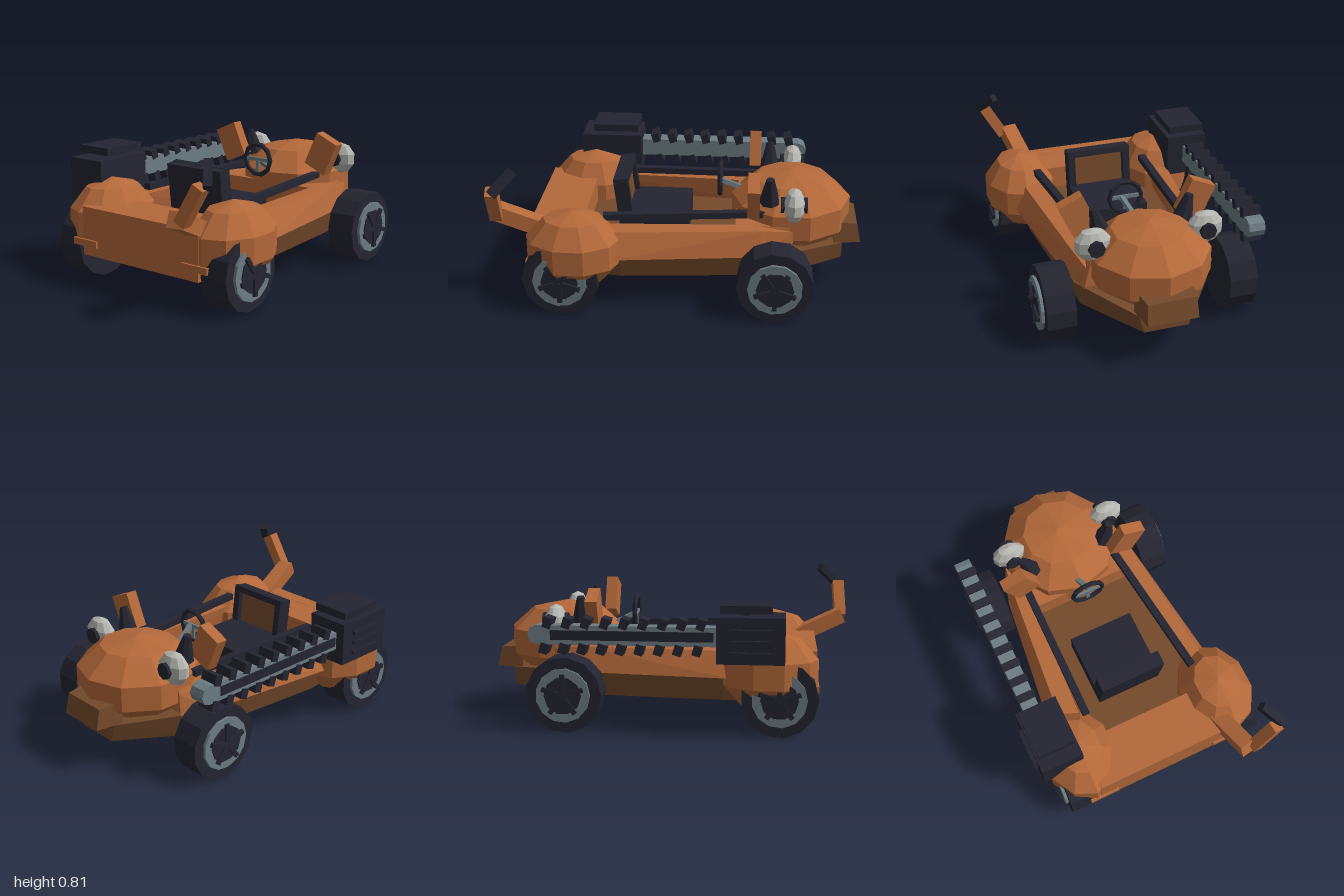
import * as THREE from 'three';
import { ConvexGeometry } from 'three/addons/geometries/ConvexGeometry.js';

const mat = (name, color) => {
  const m = new THREE.MeshStandardMaterial({ color, flatShading: true });
  m.name = name;
  return m;
};

export function createModel() {
  const orange = mat('rusty orange', 0xb4693a);
  const brown = mat('dark brown', 0x744a2b);
  const dark = mat('near black', 0x242530);
  const steel = mat('steel', 0x6d7d83);
  const glass = mat('lamp grey', 0xb6b7b0);

  const model = new THREE.Group();
  model.name = 'buggy';
  const car = new THREE.Group();
  car.name = 'car';
  car.position.x = 0.022;
  model.add(car);

  const add = (name, geo, material, x = 0, y = 0, z = 0, parent = car) => {
    const m = new THREE.Mesh(geo, material);
    m.name = name;
    m.position.set(x, y, z);
    parent.add(m);
    return m;
  };
  const box = (name, material, w, h, d, x, y, z, parent) =>
    add(name, new THREE.BoxGeometry(w, h, d), material, x, y, z, parent);
  const solid = (name, material, pts) =>
    add(name, new ConvexGeometry(pts.map(p => new THREE.Vector3(...p))), material);
  // points given for +x, mirrored to both sides
  const mirrored = pts => pts.flatMap(([x, y, z]) => [[x, y, z], [-x, y, z]]);
  // square bar between two points
  const beam = (name, material, a, b, w, h = w) => {
    const p = new THREE.Vector3(...a), q = new THREE.Vector3(...b);
    const m = box(name, material, w, h, p.distanceTo(q), 0, 0, 0);
    m.position.copy(p).add(q).multiplyScalar(0.5);
    m.lookAt(q);
    return m;
  };
  // faceted ellipsoid with five rows
  const blob = (name, material, rx, ry, rz, x, y, z, sides, turn = 0) => {
    const g = new THREE.SphereGeometry(1, sides, 5).rotateY(turn).scale(rx, ry, rz);
    return add(name, g, material, x, y, z);
  };

  // chassis tub, narrowing to the nose
  const plan = [[0.4, 0.78], [0.46, 0.3], [0.385, -0.55], [0.15, -0.9]];
  solid('chassis', brown, mirrored(plan.flatMap(([x, z]) => [[x - 0.03, 0.165, z], [x, z < -0.6 ? 0.27 : 0.3, z]])));

  // upper body
  box('rearPanel', orange, 0.8, 0.265, 0.08, 0, 0.2975, 0.76);
  box('rearDeck', orange, 0.8, 0.13, 0.22, 0, 0.364, 0.63);
  solid('dashBlock', orange, mirrored([
    [0.34, 0.28, -0.31], [0.3, 0.43, -0.31], [0.35, 0.28, -0.6], [0.31, 0.43, -0.6]]));
  for (const s of [-1, 1]) {
    solid('sideWall', orange, [
      [0.5, 0.295, 0.34], [0.44, 0.43, 0.36], [0.34, 0.43, 0.54], [0.37, 0.29, 0.54],
      [0.405, 0.295, -0.45], [0.365, 0.43, -0.45], [0.29, 0.43, -0.4], [0.31, 0.29, -0.4],
      [0.35, 0.295, -0.62], [0.34, 0.42, -0.62]].map(([x, y, z]) => [s * x, y, z]));
    beam('sideRail', dark, [s * 0.325, 0.48, 0.4], [s * 0.27, 0.48, -0.48], 0.04, 0.035);
    blob('rearFender', orange, 0.21, 0.222, 0.27, s * 0.425, 0.325, 0.55, 10, 0.31);
    box('rearBumper', orange, 0.17, 0.036, 0.03, s * 0.38, 0.235, 0.797);
  }

  // bonnet and nose
  blob('bonnet', orange, 0.34, 0.222, 0.345, 0, 0.42, -0.61, 10, 0.314);
  solid('noseBumper', brown, mirrored([
    [0.135, 0.27, -1], [0.13, 0.38, -0.975], [0.16, 0.27, -0.85], [0.15, 0.39, -0.85]]));

  // seat with a framed back panel
  box('seatCushion', dark, 0.37, 0.12, 0.34, 0, 0.36, 0.12);
  const back = new THREE.Group();
  back.name = 'seatBack';
  back.position.set(0, 0.46, 0.31);
  back.rotation.x = 0.12;
  car.add(back);
  box('seatShell', dark, 0.37, 0.33, 0.05, 0, 0, 0.01, back);
  box('seatPanel', brown, 0.28, 0.24, 0.006, 0, 0.02, -0.017, back);
  for (const s of [-1, 1]) box('seatFrameSide', dark, 0.04, 0.33, 0.03, s * 0.165, 0, -0.03, back);
  box('seatFrameTop', dark, 0.37, 0.035, 0.03, 0, 0.15, -0.03, back);

  // steering wheel
  add('steeringRim', new THREE.TorusGeometry(0.09, 0.014, 5, 10), dark, 0, 0.575, -0.215);
  box('steeringSpoke', steel, 0.17, 0.02, 0.012, 0, 0.575, -0.215);
  box('steeringSpoke', steel, 0.02, 0.09, 0.012, 0, 0.535, -0.215);
  beam('steeringColumn', steel, [0, 0.575, -0.21], [0, 0.5, -0.36], 0.025);

  // lamps, horn cones and upright plates beside the bonnet
  for (const s of [-1, 1]) {
    blob('headlamp', glass, 0.1, 0.092, 0.06, s * 0.305, 0.56, -0.62, 10);
    const socket = add('lampSocket', new THREE.CylinderGeometry(0.045, 0.045, 0.14, 8), dark, s * 0.3, 0.56, -0.62);
    socket.rotation.x = Math.PI / 2;
    const cone = add('hornCone', new THREE.CylinderGeometry(0.022, 0.058, 0.15, 7), dark, s * 0.245, 0.615, -0.49);
    cone.rotation.z = -s * 0.25;
    const plate = box('sidePlate', orange, 0.145, 0.2, 0.065, s * 0.327, 0.62, -0.405);
    plate.rotation.z = -s * 0.42;
  }

  // wheels with rim, hub and spokes
  for (const s of [-1, 1]) for (const z of [0.605, -0.53]) {
    const wheel = new THREE.Group();
    wheel.name = 'wheel';
    wheel.position.set(s * 0.5, 0.203, z);
    wheel.rotation.z = -s * Math.PI / 2;
    car.add(wheel);
    const disc = (name, m, r, from, to, n) =>
      add(name, new THREE.CylinderGeometry(r, r, to - from, n), m, 0, (from + to) / 2, 0, wheel);
    disc('tire', dark, 0.203, -0.078, 0.078, 13);
    disc('rim', steel, 0.145, 0.07, 0.094, 13);
    disc('hub', dark, 0.1, 0.07, 0.1, 10);
    for (let i = 0; i < 5; i++) {
      const a = i * Math.PI * 2 / 5;
      const spoke = box('spoke', dark, 0.11, 0.016, 0.025, Math.cos(a) * 0.06, 0.104, -Math.sin(a) * 0.06, wheel);
      spoke.rotation.y = a;
    }
  }

  // saw motor on the right-hand side
  const sx = -0.567;
  box('motor', dark, 0.235, 0.24, 0.35, -0.545, 0.52, 0.455);
  box('motorLid', dark, 0.21, 0.042, 0.265, -0.547, 0.679, 0.43);
  box('lidPost', dark, 0.05, 0.03, 0.04, -0.547, 0.65, 0.43);
  for (const y of [0.455, 0.515, 0.572]) box('motorFin', dark, 0.025, 0.018, 0.2, -0.668, y, 0.455);

  // saw bar, rounded tip and teeth
  box('sawBar', steel, 0.09, 0.1, 0.95, sx, 0.53, -0.185);
  const tip = add('sawTip', new THREE.CylinderGeometry(0.052, 0.052, 0.09, 8), steel, sx, 0.53, -0.655);
  tip.rotation.z = Math.PI / 2;
  box('sawSidePlate', dark, 0.009, 0.05, 0.85, sx - 0.048, 0.53, -0.16);
  for (let i = 0; i < 9; i++) {
    const z = 0.2 - i * 0.1;
    const top = box('toothTop', dark, 0.1, 0.055, 0.045, sx, 0.592, z);
    const bottom = box('toothBottom', dark, 0.1, 0.055, 0.045, sx, 0.458, z - 0.02);
    top.rotation.x = 0.3;
    bottom.rotation.x = 0.3;
  }

  // bent arm at the left rear corner
  const arm = [[0.33, 0.4, 0.7], [0.42, 0.515, 0.955], [0.56, 0.685, 0.945], [0.515, 0.8, 0.83]];
  beam('armLower', orange, arm[0], arm[1], 0.09, 0.085);
  beam('armUpper', orange, arm[1], arm[2], 0.065);
  beam('armTip', dark, arm[2], arm[3], 0.042);

  return model;
}
